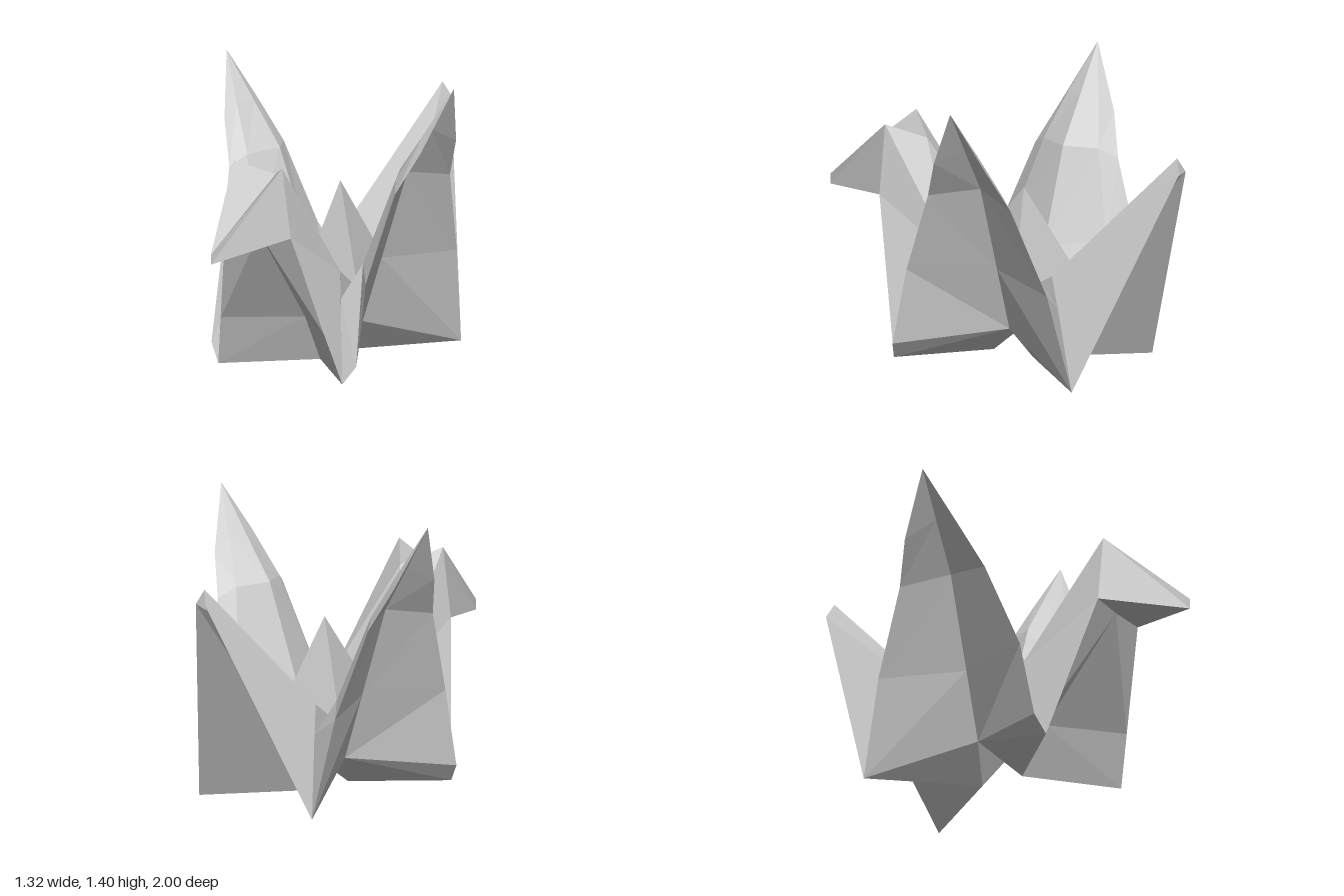
import * as THREE from 'three';

// Folded-paper bird: every part is made from flat facets on the +x half and mirrored.
const paper = new THREE.MeshStandardMaterial({ color: 0xcccccc, flatShading: true, side: THREE.DoubleSide });

// Points shared by several parts
const frontFoot = [0.36, 0, 0.41], backFoot = [0.36, 0, -0.6];
const frontHeel = [0.42, 0.09, 0.38];
const bellyFront = [0, 0, 0.07], bellyBack = [0, 0, -0.15];
const notch = [0.13, 0.17, -0.1];
const neckRoot = [0.19, 0.49, 0.18], neckRootMid = [0, 0.49, 0.18];
const tailRoot = [0.19, 0.5, -0.38], tailRootMid = [0, 0.5, -0.38];
const gully = [0.1, 0.33, -0.1];
const wingTip = [0.66, 1.4, -0.1];

const flip = ([x, y, z]) => [-x, y, z];

// Polygon as a triangle fan
function fan(...p) {
  const tris = [];
  for (let i = 1; i < p.length - 1; i++) tris.push([p[0], p[i], p[i + 1]]);
  return tris;
}

// Facets between two rails with the same number of points
function loft(a, b) {
  const tris = [];
  for (let i = 0; i < a.length - 1; i++) tris.push([a[i], b[i], b[i + 1]], [a[i], b[i + 1], a[i + 1]]);
  return tris;
}

function facets(tris, name) {
  const area = (t) => {
    const [u, v, w] = t.map((p) => new THREE.Vector3(...p));
    return v.sub(u).cross(w.sub(u)).length();
  };
  const geo = new THREE.BufferGeometry();
  const pos = tris.filter((t) => area(t) > 1e-6).flat(2);
  geo.setAttribute('position', new THREE.Float32BufferAttribute(pos, 3));
  geo.computeVertexNormals();
  const mesh = new THREE.Mesh(geo, paper);
  mesh.name = name;
  return mesh;
}

// Adds the mirrored half, with the corner order reversed
const mirrored = (tris) => [...tris, ...tris.map(([a, b, c]) => [flip(a), flip(c), flip(b)])];

// Wing: outer skin, rolled edges and hollow inner skin, from rails running to the tip
function wing() {
  const frontEdge = [frontHeel, [0.42, 0.48, 0.3], [0.48, 0.9, 0.14], [0.57, 1.1, 0.05], wingTip];
  const backEdge = [backFoot, [0.41, 0.48, -0.49], [0.48, 0.9, -0.33], [0.57, 1.1, -0.25], wingTip];
  const outer = [notch, [0.24, 0.5, -0.1], [0.39, 0.95, -0.1], [0.53, 1.18, -0.1], wingTip];
  const innerFront = [[0.235, 0.37, 0.24], [0.316, 0.54, 0.17], [0.43, 0.95, 0.06], [0.54, 1.17, -0.01], wingTip];
  const innerBack = [[0.235, 0.37, -0.44], [0.316, 0.54, -0.37], [0.43, 0.95, -0.25], [0.54, 1.17, -0.18], wingTip];
  const ridge = [gully, [0.18, 0.5, -0.1], [0.35, 0.96, -0.1], [0.5, 1.17, -0.1], wingTip];
  return [
    ...loft(outer, frontEdge), ...loft(backEdge, outer),
    ...loft([frontHeel, ...frontEdge], [frontFoot, ...innerFront]),
    ...loft([backFoot, ...innerBack], [backFoot, ...backEdge]),
    ...loft(innerFront, ridge), ...loft(ridge, innerBack),
    ...fan(neckRoot, gully, innerFront[0]), ...fan(tailRoot, innerBack[0], gully),
  ];
}

// Neck and head with a grooved beak and an open fold down the breast
function neck() {
  const crownMid = [0, 1.0, 0.45], crown = [0.14, 1.08, 0.6];
  const jaw = [0.19, 0.74, 0.6];
  const beakTop = [0, 0.72, 1], beakLow = [0, 0.67, 1];
  const throat = [0, 0.74, 0.59], breast = [0, 0.24, 0.2], breastSide = [0.3, 0.25, 0.474];
  return [
    ...fan(crownMid, crown, neckRoot, neckRootMid),
    ...fan(jaw, frontFoot, neckRoot, crown),
    ...fan(crownMid, beakTop, crown),
    ...fan(crown, beakTop, beakLow, jaw),
    ...fan(jaw, beakLow, throat),
    ...fan(jaw, throat, breastSide),
    ...fan(breast, breastSide, throat),
    ...fan(breast, frontFoot, breastSide),
    ...fan(breast, bellyFront, frontFoot),
  ];
}

// Tail: pointed blade with a valley fold at the back
function tail() {
  const top = [0, 1.15, -0.97], side = [0.03, 1.08, -1], groove = [0, 1.04, -0.95];
  return [
    ...fan(top, tailRootMid, tailRoot),
    ...fan(top, tailRoot, side),
    ...fan(side, tailRoot, backFoot),
    ...fan(top, side, groove),
    ...fan(side, backFoot, bellyBack, groove),
  ];
}

// Upright hump between the wings, dropping into a gully on each side
function hump() {
  const peak = [0, 0.85, -0.1];
  return [
    ...fan(gully, neckRoot, neckRootMid, peak),
    ...fan(gully, peak, tailRootMid, tailRoot),
  ];
}

// Underside: feet, and an arch running through from wing to wing
function belly() {
  const archMid = [0, notch[1], notch[2]];
  return [
    ...fan(frontFoot, frontHeel, notch, bellyFront),
    ...fan(notch, backFoot, bellyBack),
    ...fan(notch, archMid, bellyFront),
    ...fan(archMid, notch, bellyBack),
  ];
}

export function createModel() {
  const model = new THREE.Group();
  model.name = 'paperBird';
  const parts = { wings: wing(), neckAndHead: neck(), tail: tail(), backHump: hump(), belly: belly() };
  for (const [name, half] of Object.entries(parts)) model.add(facets(mirrored(half), name));
  return model;
}
